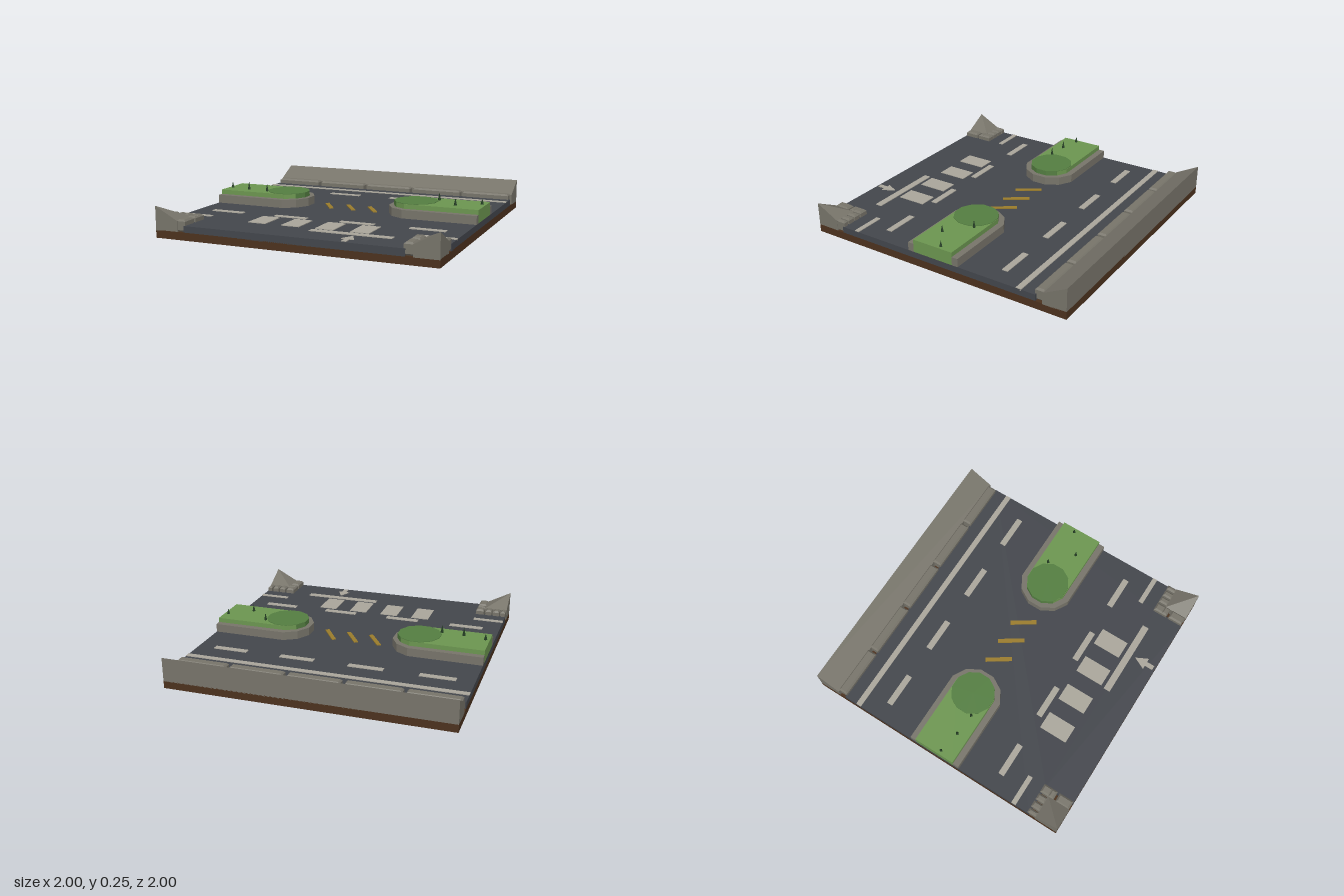
import * as THREE from 'three';
import { ConvexGeometry } from 'three/addons/geometries/ConvexGeometry.js';

const mat = (color) => new THREE.MeshStandardMaterial({ color, flatShading: true });

export function createModel() {
  const model = new THREE.Group();
  const concrete = mat(0x77746a), soil = mat(0x4c321e), asphalt = mat(0x43464c);
  const paint = mat(0xaaa69b), yellow = mat(0x9a7c2c);
  const grass = mat(0x6c9650), bush = mat(0x547e41), sprout = mat(0x243d24);

  const add = (name, geometry, material) => {
    const mesh = new THREE.Mesh(geometry, material);
    mesh.name = name;
    model.add(mesh);
    return mesh;
  };
  // Box given by its limits
  const box = (name, x0, x1, y0, y1, z0, z1, material) => {
    const mesh = add(name, new THREE.BoxGeometry(x1 - x0, y1 - y0, z1 - z0), material);
    mesh.position.set((x0 + x1) / 2, (y0 + y1) / 2, (z0 + z1) / 2);
    return mesh;
  };
  // Ground outline of [x, z] points raised from y0 to y1, optionally chamfered
  const slab = (name, points, y0, y1, material, bevel = 0) => {
    const shape = new THREE.Shape(points.map(([x, z]) => new THREE.Vector2(x, -z)));
    const geometry = new THREE.ExtrudeGeometry(shape, {
      depth: y1 - y0 - 2 * bevel, bevelEnabled: bevel > 0, bevelSegments: 1,
      bevelSize: bevel, bevelThickness: bevel, bevelOffset: -bevel,
    });
    geometry.rotateX(-Math.PI / 2).translate(0, y0 + bevel, 0);
    return add(name, geometry, material);
  };
  const kerbBlock = (x0, x1, z0, z1) =>
    slab('kerbBlock', [[x0, z0], [x1, z0], [x1, z1], [x0, z1]], 0.055, 0.14, concrete, 0.012);
  const hull = (name, points, material) =>
    add(name, new ConvexGeometry(points.map((p) => new THREE.Vector3(...p))), material);

  // Soil base and road, notched at the two front corners
  box('soilBase', -1, 1, 0, 0.055, -1, 1, soil);
  slab('road', [[-1, -0.78], [1, -0.78], [1, 0.78], [0.78, 0.78], [0.78, 1],
    [-0.78, 1], [-0.78, 0.78], [-1, 0.78]], 0.05, 0.1, asphalt);

  // Sloped back embankment with its row of kerb blocks
  hull('backEmbankment', [-1, 1].flatMap((x) => [
    [x, 0.05, -1], [x, 0.22, -1], [x, 0.13, -0.83], [x, 0.05, -0.83]]), concrete);
  for (const [x0, x1] of [[-0.985, -0.625], [-0.6, -0.215], [-0.185, 0.185], [0.215, 0.6], [0.625, 0.985]])
    kerbBlock(x0, x1, -0.84, -0.77);

  for (const s of [-1, 1]) {
    const span = (a, b) => (s > 0 ? [a, b] : [-b, -a]);

    // Front corner embankment, rising to the outer corner
    hull('cornerEmbankment', [
      [s, 0.05, 1], [s * 0.83, 0.05, 1], [s * 0.83, 0.05, 0.83], [s, 0.05, 0.83],
      [s, 0.22, 1], [s * 0.83, 0.13, 1], [s * 0.83, 0.13, 0.83], [s, 0.13, 0.83]], concrete);
    for (const [a, b] of [[0.77, 0.832], [0.845, 0.892], [0.904, 0.951], [0.963, 0.997]])
      kerbBlock(...span(a, b), 0.765, 0.835);
    kerbBlock(...span(0.77, 0.835), 0.825, 0.87);
    kerbBlock(...span(0.77, 0.835), 0.887, 0.995);

    // Median island: U-shaped kerb, lawn and round bush at the nose
    const nose = (cx, r) => [-75, -45, -15, 15, 45, 75].map((deg) => {
      const a = THREE.MathUtils.degToRad(deg);
      return [s * (cx - r * Math.cos(a)), r * Math.sin(a)];
    });
    const outer = [[s, -0.2], ...nose(0.52, 0.207), [s, 0.2]];
    const inner = [[s, -0.155], ...nose(0.51, 0.16), [s, 0.155]];
    slab('islandKerb', [...outer, ...inner.reverse()], 0.1, 0.16, concrete);
    slab('islandLawn', inner, 0.1, 0.193, grass);
    const round = add('islandBush', new THREE.CylinderGeometry(0.157, 0.157, 0.097, 12), bush);
    round.rotation.y = Math.PI / 12;
    round.position.set(s * 0.505, 0.1485, 0);

    // Lane edge stub beside the corner
    box('edgeLine', ...span(0.775, 1), 0.09, 0.105, 0.635, 0.67, paint);
  }

  // Pointed sprouts on the lawns: x, z, tip height
  for (const [x, z, top] of [[-0.97, 0.04, 0.24], [-0.81, 0.07, 0.255], [-0.65, 0.08, 0.25],
    [0.65, -0.085, 0.25], [0.81, 0.06, 0.245], [0.97, -0.05, 0.235]]) {
    const h = top - 0.19;
    add('sprout', new THREE.ConeGeometry(0.013, h, 4), sprout).position.set(x, 0.19 + h / 2, z);
  }

  // White road markings
  box('edgeLine', -1, 1, 0.09, 0.105, -0.68, -0.64, paint);
  for (const x of [-0.75, -0.25, 0.25, 0.75])
    for (const z of [-0.477, 0.472])
      box('laneDash', x - 0.125, x + 0.125, 0.09, 0.105, z - 0.022, z + 0.022, paint);
  for (const x of [-0.375, -0.125, 0.125, 0.375])
    box('crossingStripe', x - 0.066, x + 0.066, 0.09, 0.105, 0.523, 0.733, paint);
  box('stopLine', 0.05, 0.625, 0.09, 0.105, 0.758, 0.807, paint);
  slab('laneArrow', [[0.375, 0.835], [0.42, 0.925], [0.392, 0.925], [0.392, 0.985],
    [0.358, 0.985], [0.358, 0.925], [0.33, 0.925]], 0.09, 0.105, paint);

  // Slanted yellow bars between the islands
  for (const x of [-0.172, 0, 0.17]) {
    const bar = box('yellowBar', x - 0.015, x + 0.015, 0.09, 0.107, -0.097, 0.097, yellow);
    bar.rotation.y = 0.59;
  }
  return model;
}
